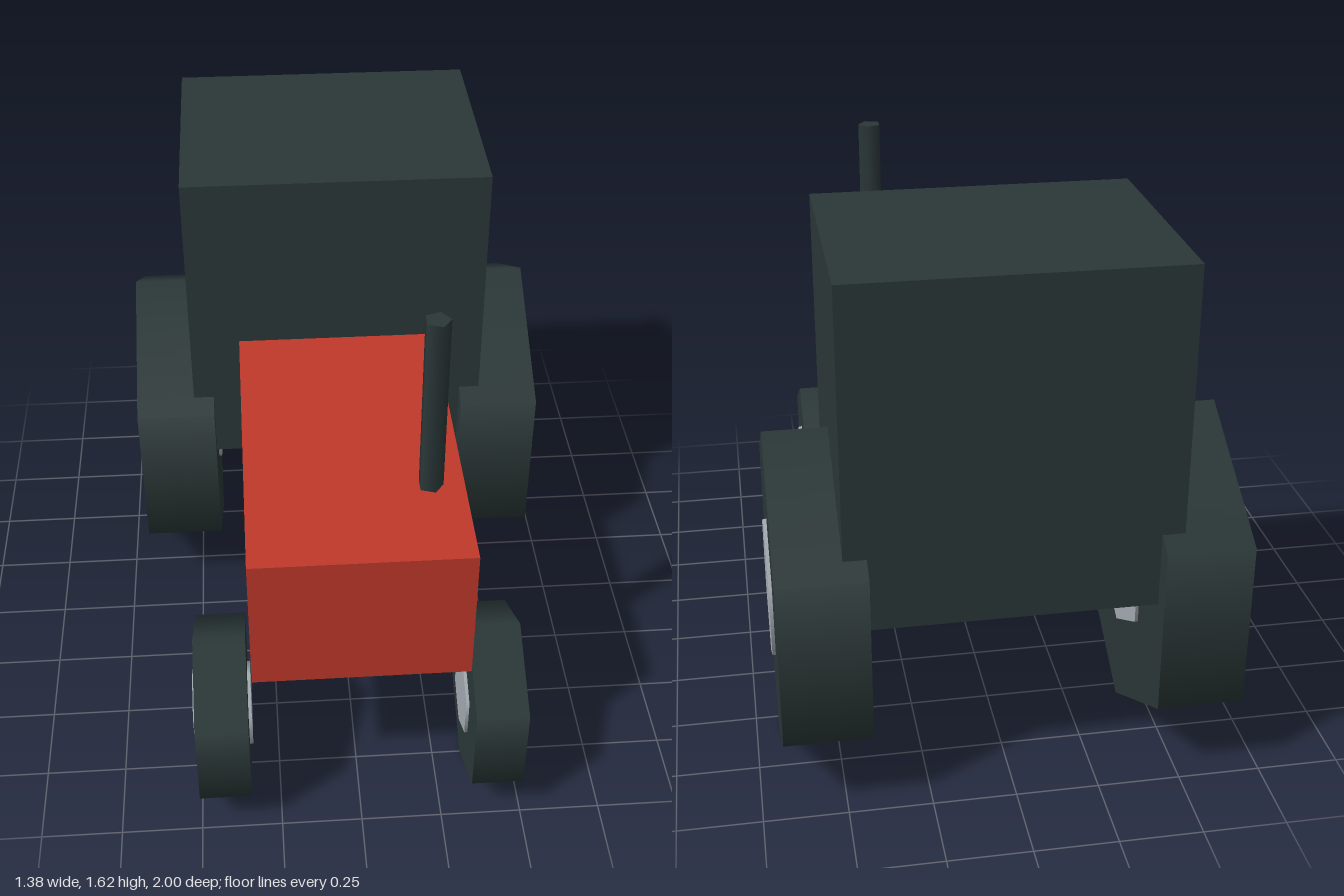
import * as THREE from 'three';

const paint = (name, color) => {
  const m = new THREE.MeshStandardMaterial({ color });
  m.name = name;
  return m;
};

export function createModel() {
  const red = paint('red paint', 0xc0392b);
  const dark = paint('dark rubber', 0x2b3838);
  const grey = paint('grey metal', 0xa6adb4);

  const tractor = new THREE.Group();
  tractor.name = 'tractor';

  const add = (parent, name, geometry, material, x, y, z) => {
    const mesh = new THREE.Mesh(geometry, material);
    mesh.name = name;
    mesh.position.set(x, y, z);
    parent.add(mesh);
  };

  // Engine body and cabin share the same floor height
  add(tractor, 'hood', new THREE.BoxGeometry(0.65, 0.455, 1.1), red, 0, 0.8125, 0.39);
  add(tractor, 'cabin', new THREE.BoxGeometry(0.975, 1.038, 0.78), dark, 0, 1.104, -0.55);

  // Five-sided exhaust pipe standing on the left of the hood
  const pipe = new THREE.CylinderGeometry(0.039, 0.039, 0.583, 5).rotateY(Math.PI / 2);
  add(tractor, 'exhaust', pipe, dark, 0.223, 1.3315, 0.617);

  // Six-sided disc along x with a corner pointing up
  const disc = (radius, width) =>
    new THREE.CylinderGeometry(radius, radius, width, 6, 1, false, Math.PI / 6).rotateZ(Math.PI / 2);

  // Wheels: each hub passes through its tire and shows on both faces
  const axles = [
    { name: 'frontWheel', x: 0.421, z: 0.75, radius: 0.29, width: 0.16, hubRadius: 0.131, hubWidth: 0.18 },
    { name: 'rearWheel', x: 0.55, z: -0.55, radius: 0.52, width: 0.26, hubRadius: 0.232, hubWidth: 0.28 },
  ];
  for (const a of axles) {
    for (const [side, s] of [['Left', 1], ['Right', -1]]) {
      const wheel = new THREE.Group();
      wheel.name = a.name + side;
      wheel.position.set(s * a.x, a.radius, a.z);
      add(wheel, 'tire', disc(a.radius, a.width), dark, 0, 0, 0);
      add(wheel, 'hub', disc(a.hubRadius, a.hubWidth), grey, 0, 0, 0);
      tractor.add(wheel);
    }
  }
  return tractor;
}
